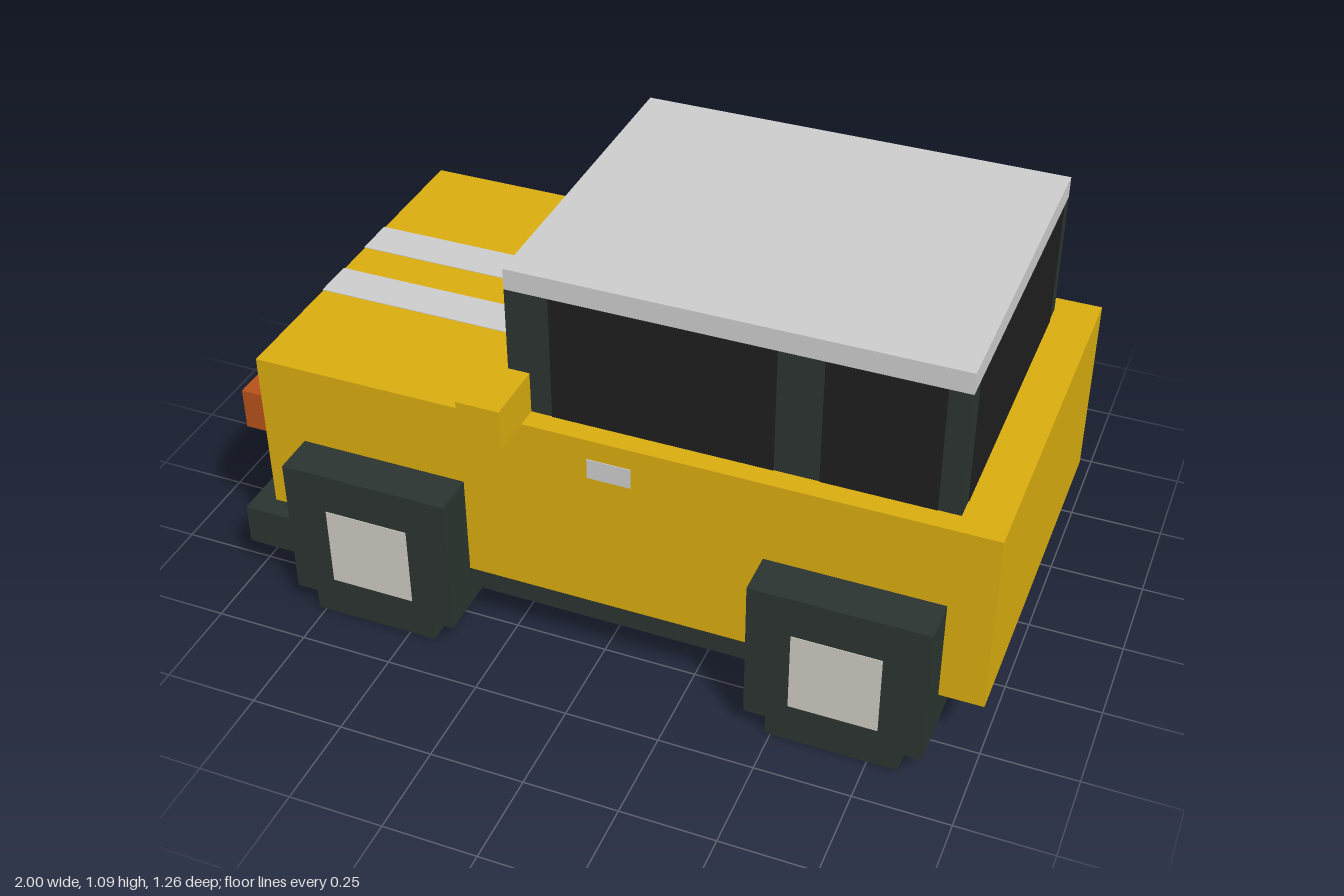
import * as THREE from 'three';

const U = 2 / 35;   // block size of the model
const E = 0.002;    // how far painted details stand proud

const mat = (color) => new THREE.MeshStandardMaterial({ color, flatShading: true });

export function createModel() {
  const car = new THREE.Group();
  car.name = 'car';
  const yellow = mat(0xd8ac10), dark = mat(0x2a342f), glass = mat(0x1e1e1e), grey = mat(0xcccccc);
  const cream = mat(0xcccac0), orange = mat(0xb5501a), amber = mat(0xb0742a);

  // Box given by its [min, max] on each axis
  const box = (name, material, x, y, z) => {
    const g = new THREE.BoxGeometry(x[1] - x[0], y[1] - y[0], z[1] - z[0]);
    const m = new THREE.Mesh(g, material);
    m.name = name;
    m.position.set((x[0] + x[1]) / 2, (y[0] + y[1]) / 2, (z[0] + z[1]) / 2);
    car.add(m);
  };
  // The same box on both sides of the car
  const pair = (name, material, x, y, z) => {
    box(name, material, x, y, z);
    box(name, material, x, y, [-z[1], -z[0]]);
  };
  const nose = -1 + U, side = 9 * U, cabinSide = 8 * U;
  const cabinFront = -0.257, cabinBack = 0.886, deck = 12 * U, roofBase = 18 * U;

  // Body, underside and bumper
  box('body', yellow, [nose, 1], [3 * U, deck], [-side, side]);
  box('chassis', dark, [nose, cabinBack], [2 * U, 3 * U], [-side, side]);
  box('frontBumper', dark, [-1, -0.829], [2 * U, 4 * U], [-10 * U, 10 * U]);

  // Cabin with windows and roof
  box('cabinFrame', dark, [cabinFront, cabinBack], [deck, roofBase], [-cabinSide, cabinSide]);
  const paneZ = [cabinSide - 0.01, cabinSide + E];
  pair('frontSideWindow', glass, [-0.143, 0.429], [deck, roofBase], paneZ);
  pair('rearSideWindow', glass, [0.543, 0.829], [deck, roofBase], paneZ);
  box('windshield', glass, [cabinFront - E, cabinFront + 0.01], [deck, roofBase], [-7 * U, 7 * U]);
  box('rearWindow', glass, [cabinBack - 0.01, cabinBack + E], [deck, roofBase], [-7 * U, 7 * U]);
  box('roof', grey, [cabinFront, cabinBack], [roofBase, 19 * U], [-cabinSide, cabinSide]);

  // Wheels: block tyre, narrower tread below, square hub
  for (const x of [-0.6, 0.657]) {
    pair('tyre', dark, [x - 4 * U, x + 4 * U], [U, 8 * U], [7 * U, 11 * U]);
    pair('tyreTread', dark, [x - 3 * U, x + 3 * U], [0, U], [7 * U, 11 * U]);
    pair('hub', cream, [x - 2 * U, x + 2 * U], [2 * U, 6 * U], [11 * U - 0.01, 11 * U + E]);
  }

  // Mirrors and door handles
  pair('mirror', yellow, [-0.314, -0.2], [deck, 14 * U], [cabinSide, 11 * U]);
  pair('doorHandle', grey, [-0.029, 0.086], [10 * U, 11 * U], [side - 0.01, side + E]);

  // Bonnet stripes running down the nose
  const front = [nose - E, nose + 0.01];
  pair('bonnetStripe', grey, [nose, cabinFront], [deck - 0.01, deck + E], [U, 3 * U]);
  pair('noseStripe', grey, front, [8 * U, deck + E], [U, 3 * U]);

  // Grille slots and lights
  for (const y of [4, 7]) box('grilleSlot', glass, front, [y * U, (y + 1) * U], [-4 * U, 4 * U]);
  pair('turnSignal', orange, [-1, nose], [8 * U, 10 * U], [7 * U, side]);
  pair('headlight', amber, [-1, nose], [8 * U, 10 * U], [5 * U, 7 * U]);
  pair('fogLight', amber, front, [4 * U, 6 * U], [5 * U, 8 * U]);

  return car;
}
